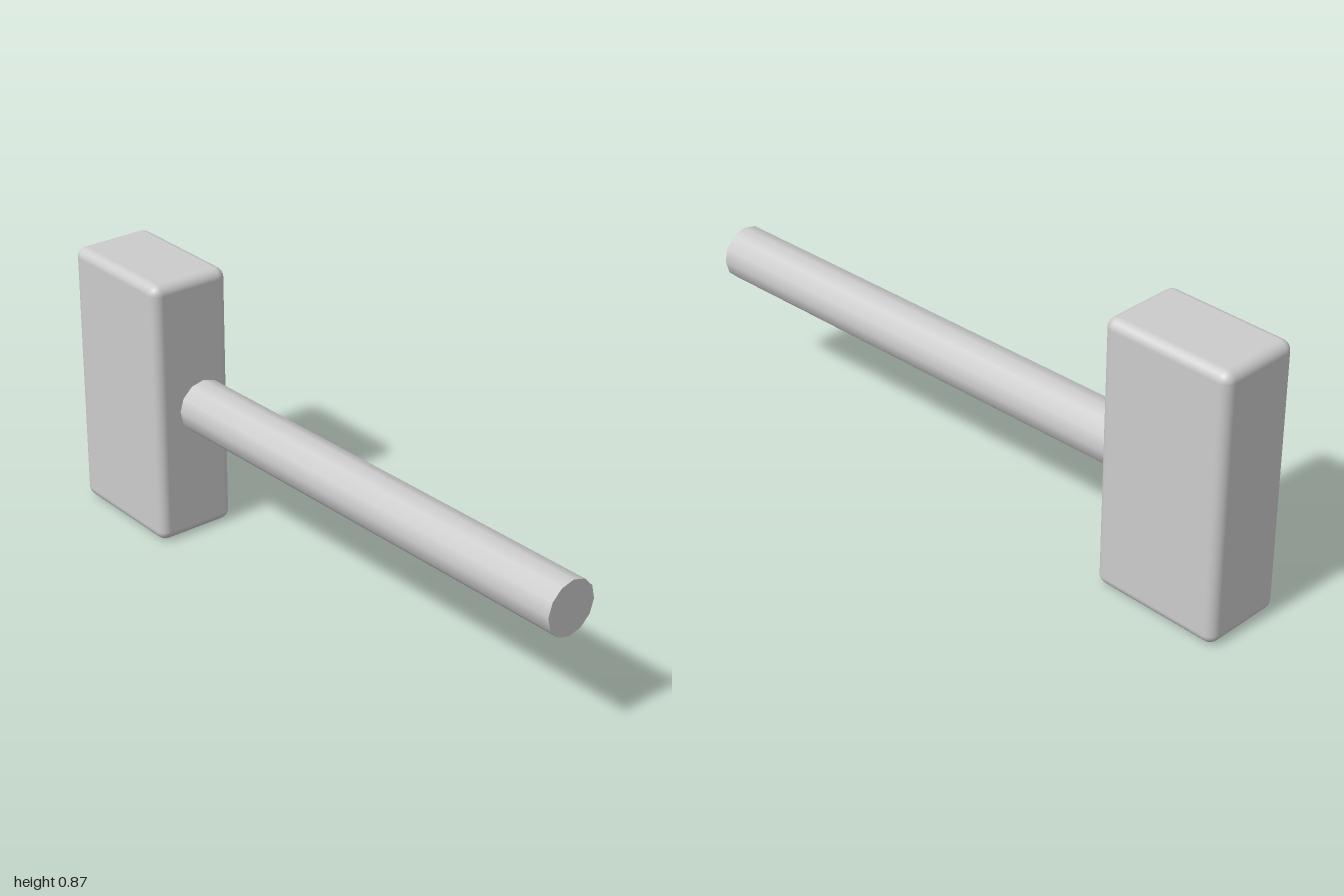
import * as THREE from 'three';
import { RoundedBoxGeometry } from 'three/addons/geometries/RoundedBoxGeometry.js';

export function createModel() {
  const group = new THREE.Group();
  group.name = 'mallet';
  const material = new THREE.MeshStandardMaterial({ color: 0xcccccc });

  // Block head with softly rounded edges
  const head = new THREE.Mesh(new RoundedBoxGeometry(0.43, 0.865, 0.27, 3, 0.032), material);
  head.name = 'head';
  head.position.set(-0.785, 0.4325, 0.016);
  group.add(head);

  // Twelve-sided handle, slightly skewed towards the back, seated just inside the head
  const start = new THREE.Vector3(-0.6, 0.4325, -0.016);
  const end = new THREE.Vector3(0.997, 0.4325, -0.065);
  const axis = end.clone().sub(start);
  const handle = new THREE.Mesh(new THREE.CylinderGeometry(0.086, 0.086, axis.length(), 12), material);
  handle.name = 'handle';
  handle.position.copy(start).lerp(end, 0.5);
  handle.quaternion.setFromUnitVectors(new THREE.Vector3(0, 1, 0), axis.normalize());
  group.add(handle);

  return group;
}
